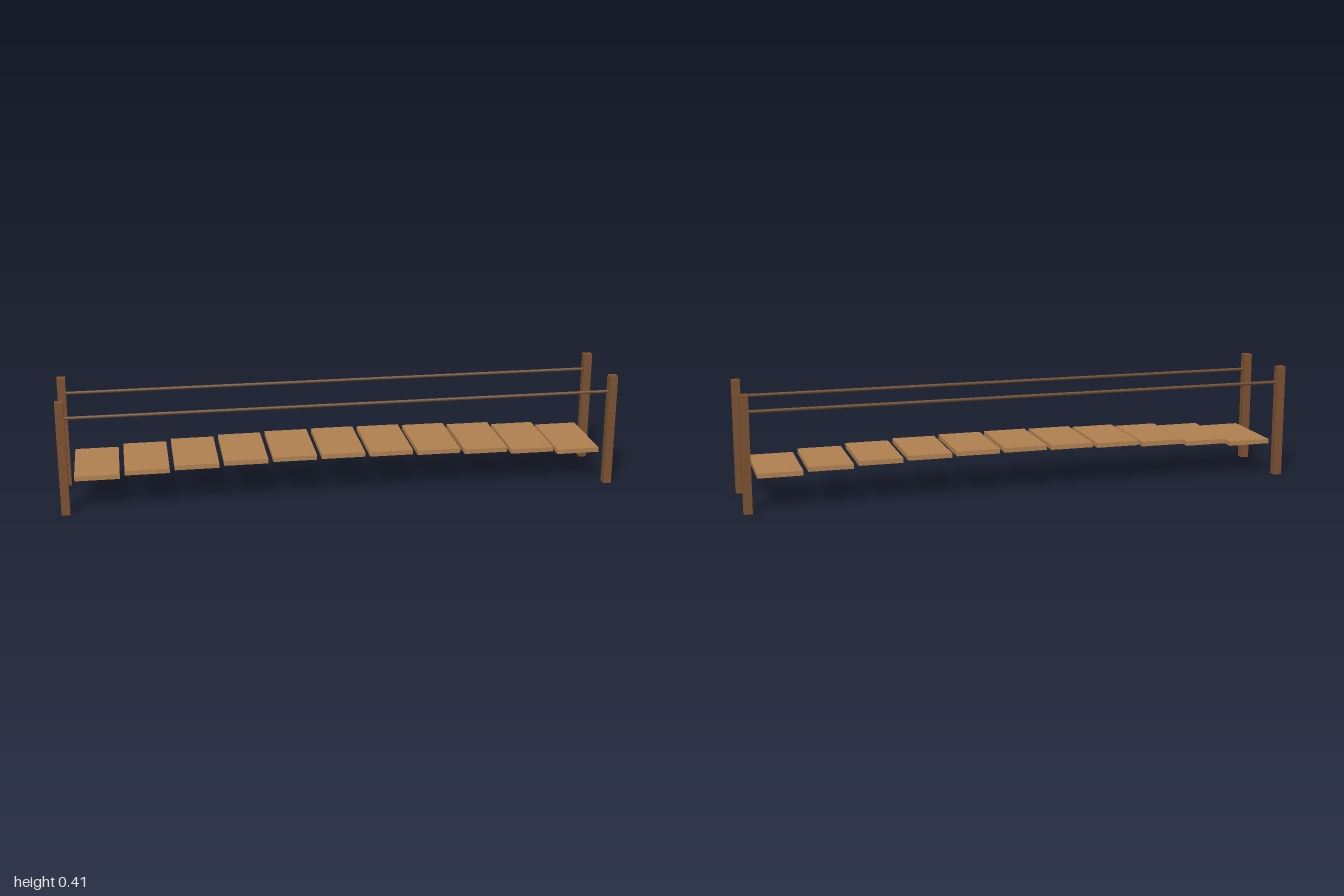
import * as THREE from 'three';

export function createModel() {
  const bridge = new THREE.Group();
  bridge.name = 'footbridge';
  const plankWood = new THREE.MeshStandardMaterial({ color: 0xb08050 });
  const postWood = new THREE.MeshStandardMaterial({ color: 0x7a5030 });
  const railWood = new THREE.MeshStandardMaterial({ color: 0x6b4a2c });

  const add = (name, geometry, material, x, y, z) => {
    const mesh = new THREE.Mesh(geometry, material);
    mesh.name = name;
    mesh.position.set(x, y, z);
    bridge.add(mesh);
    return mesh;
  };

  const postX = 0.985, sideZ = 0.143, postHeight = 0.412;

  // Deck planks, rising in a gentle arch
  const plankGeometry = new THREE.BoxGeometry(0.157, 0.017, sideZ * 2);
  for (let i = -5; i <= 5; i++) {
    const arch = 0.032 * (1 - (i / 5) ** 2);
    add('plank', plankGeometry, plankWood, i * 0.1742, 0.128 + arch, 0);
  }

  // Corner posts and a handrail on each side
  const postGeometry = new THREE.BoxGeometry(0.03, postHeight, 0.03);
  const railGeometry = new THREE.CylinderGeometry(0.006, 0.006, postX * 2, 8);
  for (const side of [-1, 1]) {
    for (const end of [-1, 1]) {
      add('post', postGeometry, postWood, end * postX, postHeight / 2, side * sideZ);
    }
    add('handrail', railGeometry, railWood, 0, 0.352, side * sideZ).rotation.z = Math.PI / 2;
  }
  return bridge;
}
